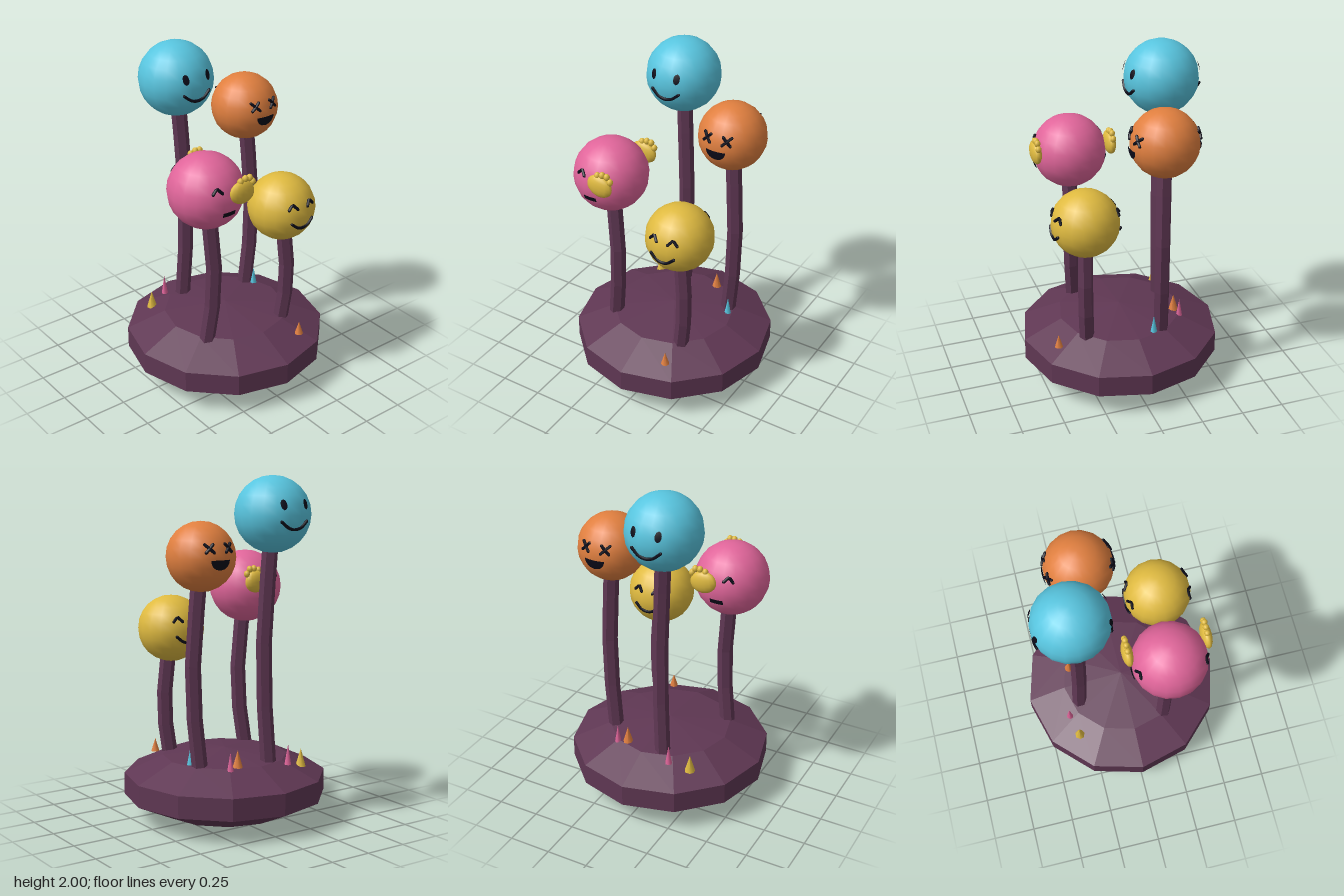
import * as THREE from 'three';

const mat = (name, color, extra = {}) => {
  const m = new THREE.MeshStandardMaterial({ color, ...extra });
  m.name = name;
  return m;
};

export function createModel() {
  const plum = mat('plum', 0x5f3753, { flatShading: true });
  const blue = mat('sky blue', 0x58c5df);
  const orange = mat('orange', 0xe07f3f);
  const pink = mat('pink', 0xe0659a);
  const yellow = mat('yellow', 0xdfba40);
  const ink = mat('ink', 0x0a0a18, { side: THREE.DoubleSide });

  const model = new THREE.Group();
  const add = (parent, name, geo, material, x = 0, y = 0, z = 0) => {
    const m = new THREE.Mesh(geo, material);
    m.name = name;
    m.position.set(x, y, z);
    parent.add(m);
    return m;
  };

  // Faceted, squashed base
  add(model, 'base', new THREE.SphereGeometry(0.62, 12, 5).scale(1, 0.207 / 0.62, 1), plum, 0, 0.207, 0);

  // Point on a ball's surface, s = +1 for the front face and -1 for the back
  const onBall = (x, y, r, s, lift) =>
    new THREE.Vector3(x, y, s * (Math.sqrt(r * r - x * x - y * y) + lift));

  // Drawn line that hugs the ball
  const stroke = (g, name, r, s, pts, smooth, w = 0.009) => {
    const p = pts.map(([x, y]) => onBall(x, y, r, s, 0.002));
    const curve = new THREE.CatmullRomCurve3(p, false, 'catmullrom', smooth ? 0.5 : 0);
    add(g, name, new THREE.TubeGeometry(curve, smooth ? 16 : 8, w, 6), ink);
    for (const end of [p[0], p[p.length - 1]])
      add(g, name + 'End', new THREE.SphereGeometry(w, 6, 4), ink, end.x, end.y, end.z);
  };

  // Filled thin patch that hugs the ball; profile gives its width at v = -1..1
  const patch = (g, name, r, s, cx, cy, hw, hh, profile) => {
    const geo = new THREE.PlaneGeometry(2, 2, 8, 10);
    const a = geo.attributes.position;
    for (let i = 0; i < a.count; i++) {
      const v = a.getY(i);
      const p = onBall(cx + hw * a.getX(i) * profile(v), cy + hh * v, r, s, 0.007);
      a.setXYZ(i, p.x, p.y, p.z);
    }
    geo.computeVertexNormals();
    add(g, name, geo, ink);
  };

  const oval = v => Math.sqrt(Math.max(0, 1 - v * v));
  const halfDisc = v => Math.sqrt(Math.max(0, 1 - ((1 - v) / 2) ** 2));
  const caret = (g, r, s, x, y) =>
    stroke(g, 'eye', r, s, [[x - 0.025, y - 0.014], [x, y + 0.014], [x + 0.025, y - 0.014]], false);
  const smile = (g, r, s, w, top, bottom) => {
    const pts = [-1, -0.5, 0, 0.5, 1].map(t => [w * t, bottom + (top - bottom) * t * t]);
    stroke(g, 'mouth', r, s, pts, true);
  };

  // Flat palm with a row of finger knobs
  const hand = (g, s) => {
    const h = new THREE.Group();
    h.name = 'hand';
    h.position.set(0.075, 0.05, s * 0.222);
    g.add(h);
    add(h, 'palm', new THREE.SphereGeometry(1, 14, 10).scale(0.08, 0.066, 0.032), yellow).rotation.z = -0.2;
    for (const [x, y] of [[-0.012, 0.064], [0.02, 0.074], [0.05, 0.072], [0.07, 0.045]])
      add(h, 'finger', new THREE.SphereGeometry(0.018, 8, 6).scale(1, 1.15, 1), yellow, x, y, 0);
  };

  const faces = {
    happy: (g, r, s) => {
      for (const k of [-1, 1]) patch(g, 'eye', r, s, k * 0.073, 0.06, 0.017, 0.029, oval);
      smile(g, r, s, 0.085, -0.032, -0.076);
    },
    laughing: (g, r, s) => {
      for (const k of [-1, 1])
        for (const d of [-1, 1])
          stroke(g, 'eye', r, s, [[k * 0.06 - 0.022, 0.057 - d * 0.022], [k * 0.06, 0.057],
            [k * 0.06 + 0.022, 0.057 + d * 0.022]], false);
      patch(g, 'mouth', r, s, 0, -0.034, 0.06, 0.028, halfDisc);
    },
    saluting: (g, r, s) => {
      caret(g, r, s, -0.065, 0.082);
      patch(g, 'mouth', r, s, -0.002, -0.06, 0.04, 0.014, () => 1);
      hand(g, s);
    },
    smiling: (g, r, s) => {
      for (const k of [-1, 1]) caret(g, r, s, k * 0.06, 0.074);
      smile(g, r, s, 0.073, -0.025, -0.064);
    },
  };

  // Ball-headed stalks: head centre, radius, stem bend and foot
  const stalks = [
    ['happy', blue, 0.215, [-0.12, 1.785, -0.295], [-0.08, 0.95, -0.272], [-0.105, 0.34, -0.292]],
    ['laughing', orange, 0.195, [0.275, 1.56, -0.17], [0.32, 0.85, -0.152], [0.28, 0.34, -0.165]],
    ['saluting', pink, 0.215, [-0.29, 1.33, 0.205], [-0.248, 0.74, 0.222], [-0.288, 0.34, 0.2]],
    ['smiling', yellow, 0.195, [0.2, 1.105, 0.265], [0.24, 0.64, 0.282], [0.21, 0.34, 0.268]],
  ];
  for (const [mood, material, r, top, bend, foot] of stalks) {
    const path = new THREE.CatmullRomCurve3([foot, bend, top].map(p => new THREE.Vector3(...p)));
    add(model, mood + 'Stem', new THREE.TubeGeometry(path, 4, 0.045, 6), plum);
    const head = new THREE.Group();
    head.name = mood + 'Head';
    head.position.set(...top);
    model.add(head);
    add(head, 'ball', new THREE.SphereGeometry(r, 18, 12), material);
    for (const s of [1, -1]) faces[mood](head, r, s);
  }

  // Little spikes on the base: colour, x, base y, z, radius, height
  const spikes = [
    [orange, 0.21, 0.325, 0.44, 0.025, 0.08],
    [cyanOr(blue), 0.31, 0.37, -0.11, 0.021, 0.11],
    [orange, 0.12, 0.37, -0.305, 0.031, 0.105],
    [pink, 0.18, 0.36, -0.32, 0.02, 0.115],
    [pink, -0.185, 0.36, -0.37, 0.02, 0.12],
    [yellow, -0.305, 0.325, -0.335, 0.031, 0.105],
  ];
  for (const [material, x, y, z, r, h] of spikes)
    add(model, 'spike', new THREE.ConeGeometry(r, h, 7), material, x, y + h / 2, z);

  return model;
}

// Spikes share the head colours
function cyanOr(material) {
  return material;
}
